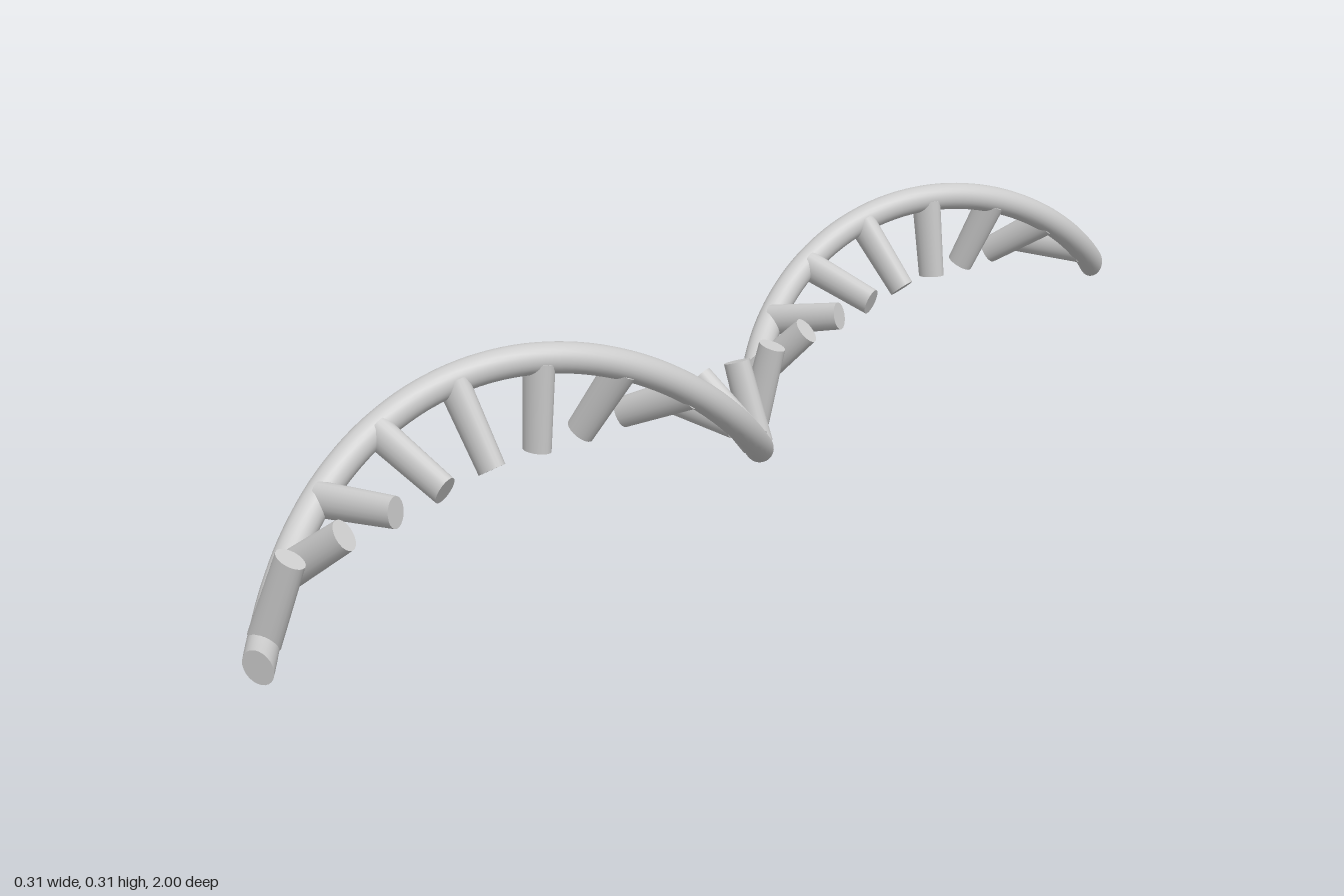
import * as THREE from 'three';

const AXIS_Y = 0.156, RADIUS = 0.132, PITCH = 1.13, START = 1.025;
const material = new THREE.MeshStandardMaterial({ color: 0xcccccc });

// Helix phase at depth z, its outward direction and its sideways direction
const phase = (z) => (2 * Math.PI * (START - z)) / PITCH;
const outward = (z) => new THREE.Vector3(-Math.sin(phase(z)), -Math.cos(phase(z)), 0);
const sideways = (z) => new THREE.Vector3(-Math.cos(phase(z)), Math.sin(phase(z)), 0);

// Helical strand swept from elliptical sections lying in planes of constant z
function strandGeometry(steps = 160, sides = 24, radial = 0.022, tangential = 0.0265) {
  const positions = [], indices = [];
  const ring = (z, shrink = 1) => {
    const o = outward(z), s = sideways(z);
    for (let j = 0; j < sides; j++) {
      const a = (2 * Math.PI * j) / sides;
      const p = o.clone().multiplyScalar(RADIUS + shrink * radial * Math.cos(a))
        .addScaledVector(s, shrink * tangential * Math.sin(a));
      positions.push(p.x, p.y + AXIS_Y, z);
    }
  };
  for (let i = 0; i <= steps; i++) ring(1 - (2 * i) / steps);
  for (let i = 0; i < steps; i++) {
    for (let j = 0; j < sides; j++) {
      const k = (j + 1) % sides;
      const a = i * sides + j, b = i * sides + k;
      indices.push(a, a + sides, b, b, a + sides, b + sides);
    }
  }
  // Flat end caps with their own vertices
  for (const z of [1, -1]) {
    const first = positions.length / 3;
    ring(z);
    for (let j = 1; j < sides - 1; j++) {
      if (z > 0) indices.push(first, first + j, first + j + 1);
      else indices.push(first, first + j + 1, first + j);
    }
  }
  const geometry = new THREE.BufferGeometry();
  geometry.setAttribute('position', new THREE.Float32BufferAttribute(positions, 3));
  // Orient all triangles outward: the section turns clockwise or not with the basis
  const turn = new THREE.Vector3().crossVectors(outward(1), sideways(1)).z;
  if (turn < 0) indices.reverse();
  geometry.setIndex(indices);
  geometry.computeVertexNormals();
  return geometry;
}

export function createModel() {
  const group = new THREE.Group();

  const strand = new THREE.Mesh(strandGeometry(), material);
  strand.name = 'helixStrand';
  group.add(strand);

  // Short flattened rungs reaching from the strand to the helix axis
  const length = 0.128;
  const rungGeometry = new THREE.CylinderGeometry(0.025, 0.022, length, 20);
  rungGeometry.translate(0, length / 2, 0);
  rungGeometry.scale(1, 1, 0.72);
  const rungs = new THREE.Group();
  rungs.name = 'rungs';
  for (let i = 0; i < 20; i++) {
    const z = 0.953 - i * 0.1003;
    const rung = new THREE.Mesh(rungGeometry, material);
    rung.name = 'rung' + (i + 1);
    const o = outward(z);
    rung.position.set(0, AXIS_Y, z);
    rung.rotation.z = Math.atan2(o.y, o.x) - Math.PI / 2;
    rungs.add(rung);
  }
  group.add(rungs);
  return group;
}
